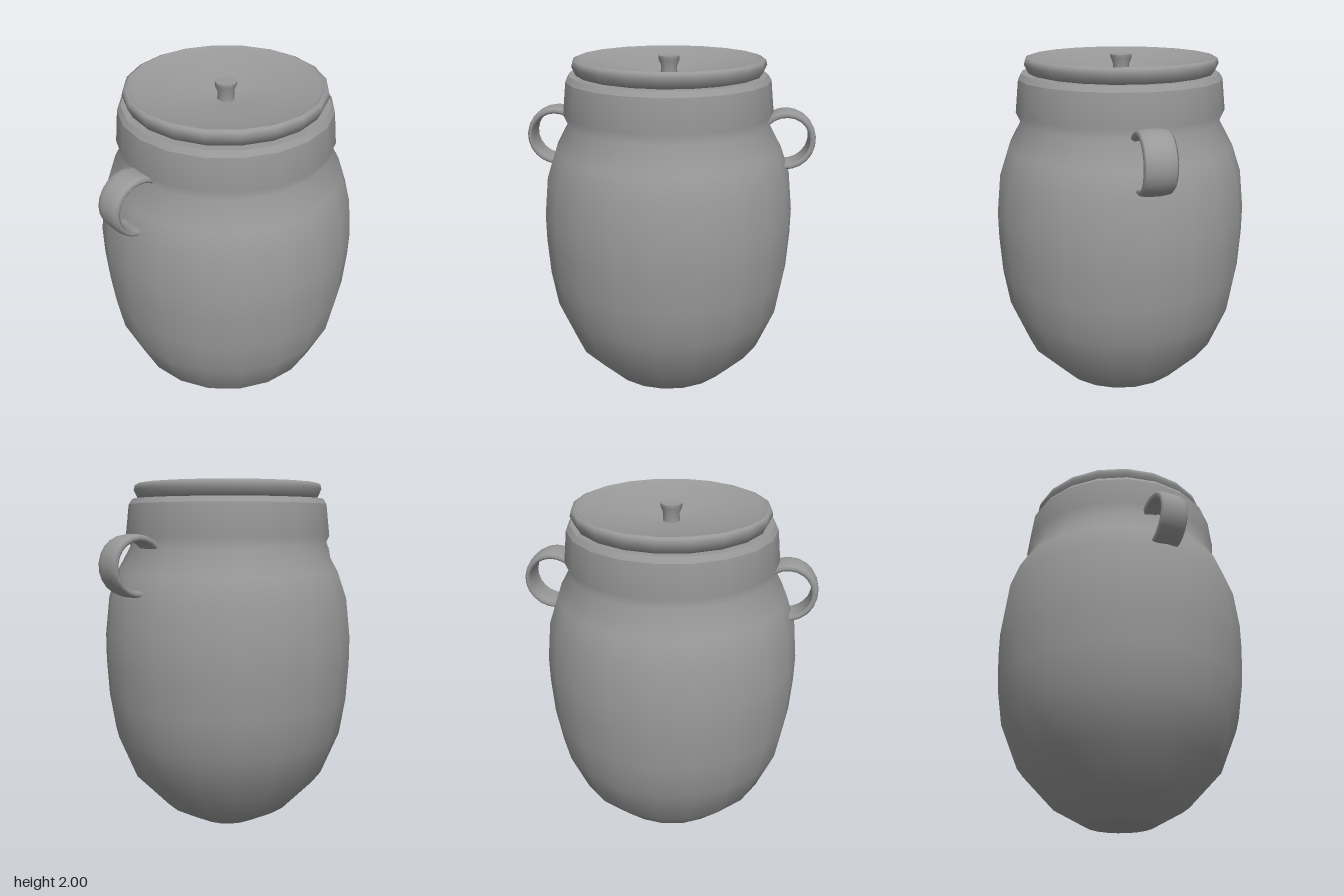
import * as THREE from 'three';

const clay = new THREE.MeshStandardMaterial({ color: 0x999999, side: THREE.DoubleSide });
clay.name = 'grey clay';

// Turned part from a [radius, height] profile, listed bottom to top on the outside
function turned(name, profile, sides = 20) {
  const points = profile.map(([r, y]) => new THREE.Vector2(r, y));
  const mesh = new THREE.Mesh(new THREE.LatheGeometry(points, sides), clay);
  mesh.name = name;
  return mesh;
}

// Flat strap bent round a sideways axis; both ends sink into the jar wall
function strapHandle(name, halfWidth) {
  const w = halfWidth, e = halfWidth * 0.85;
  const section = [
    [0.132, -e], [0.147, -w], [0.161, -e], [0.167, -w * 0.4], [0.167, w * 0.4],
    [0.161, e], [0.147, w], [0.132, e], [0.129, 0], [0.132, -e],
  ].map(([r, y]) => new THREE.Vector2(r, y));
  const rad = THREE.MathUtils.degToRad;
  const strap = new THREE.Mesh(new THREE.LatheGeometry(section, 14, rad(-138), rad(230)), clay);
  strap.name = name + 'Strap';
  strap.rotation.z = -Math.PI / 2;
  strap.position.set(0, 1.547, 0.65);
  const handle = new THREE.Group();
  handle.name = name;
  handle.add(strap);
  return handle;
}

export function createModel() {
  const jar = new THREE.Group();
  jar.name = 'liddedJar';

  // Pot: base, belly running smoothly into the collar, sloped lip and flat rim
  const pot = new THREE.Group();
  pot.name = 'pot';
  pot.position.z = 0.012;
  pot.add(
    turned('base', [[0, 0.005], [0.19, 0.005]]),
    turned('bellyAndCollar', [
      [0.19, 0.005], [0.38, 0.11], [0.57, 0.31], [0.672, 0.56], [0.705, 0.77], [0.717, 0.98],
      [0.717, 1.13], [0.692, 1.35], [0.64, 1.5], [0.562, 1.64], [0.588, 1.7], [0.568, 1.875],
    ]),
    turned('lip', [[0.568, 1.875], [0.548, 1.905]]),
    turned('rim', [[0.548, 1.905], [0.46, 1.9]]),
  );
  jar.add(pot);

  // Dished lid with a rounded edge and a small flared knob in the hollow
  const lid = new THREE.Group();
  lid.name = 'lid';
  lid.position.set(-0.005, 0, 0.008);
  lid.add(
    turned('lidEdge', [[0.46, 1.895], [0.515, 1.908], [0.537, 1.955], [0.53, 1.983], [0.513, 1.99]]),
    turned('lidDish', [[0.513, 1.99], [0.49, 1.978], [0.3, 1.935], [0, 1.9]]),
    turned('knob', [[0.047, 1.895], [0.044, 1.945], [0.058, 1.98], [0.058, 2]], 10),
    turned('knobTop', [[0.058, 2], [0, 2]], 10),
  );
  jar.add(lid);

  // Handles at front and back
  const front = strapHandle('frontHandle', 0.08);
  const back = strapHandle('backHandle', 0.087);
  back.rotation.y = Math.PI;
  front.position.x = back.position.x = -0.01;
  jar.add(front, back);

  return jar;
}
